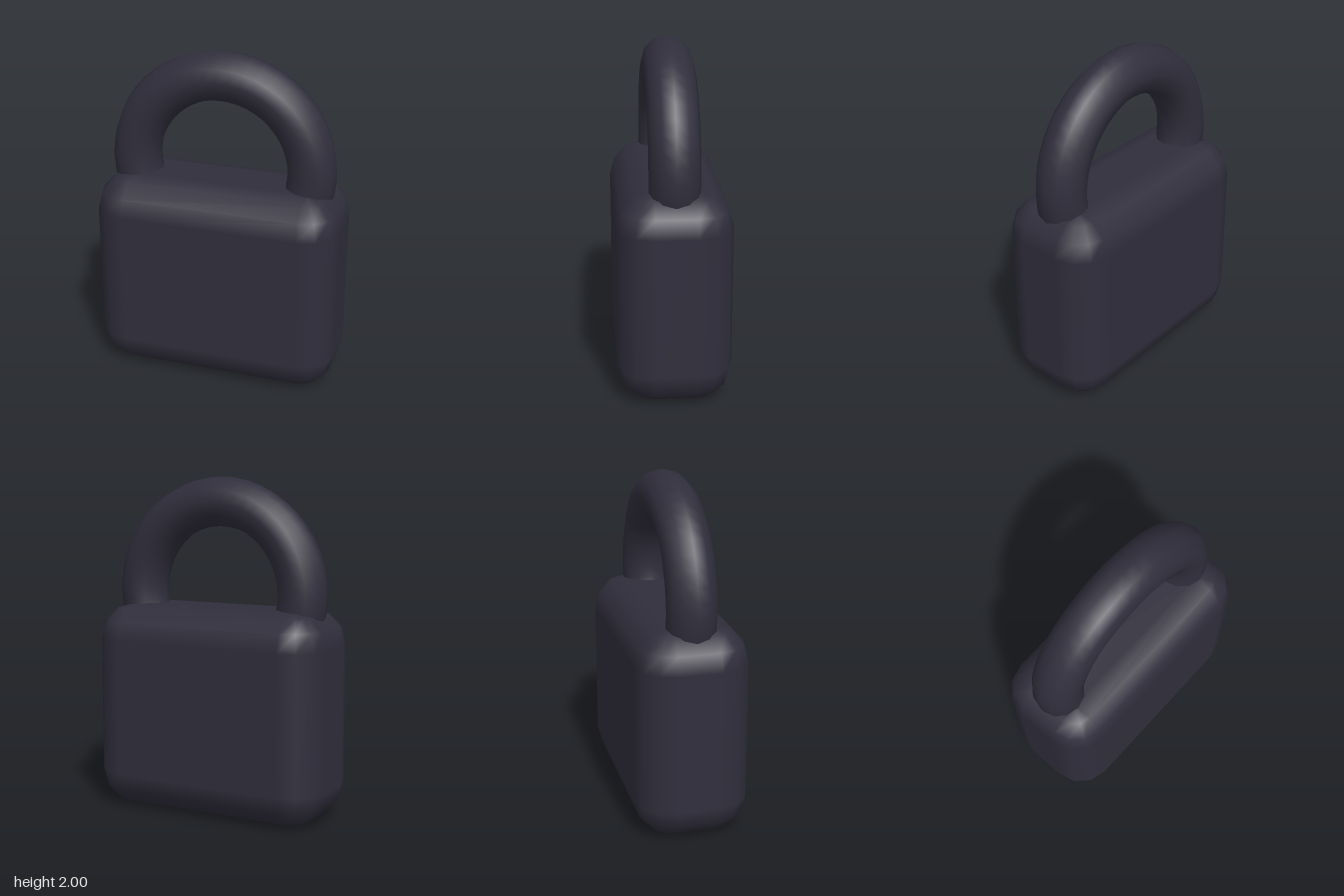
import * as THREE from 'three';

// Box with evenly rounded edges: a wrapped grid whose rows and columns are
// sphere directions pushed out to the eight corners.
function roundedBlock(w, h, d, r, n) {
  const cols = 4 * (n + 1);
  const rows = 2 * (n + 1) + 1; // includes one centre row for each flat cap
  const geo = new THREE.PlaneGeometry(1, 1, cols, rows);
  const pos = geo.attributes.position;
  const nor = geo.attributes.normal;
  const step = Math.PI / 2 / n;
  for (let j = 0; j <= rows; j++) {
    const cap = j === 0 || j === rows;
    const k = THREE.MathUtils.clamp(j - 1, 0, rows - 2);
    const top = k <= n;
    const theta = (top ? k : k - 1) * step;
    for (let i = 0; i <= cols; i++) {
      const c = i % cols;
      const corner = Math.floor(c / (n + 1));
      const phi = corner * Math.PI / 2 + (c % (n + 1)) * step;
      const sx = corner < 2 ? 1 : -1;
      const sz = corner === 0 || corner === 3 ? 1 : -1;
      const dir = new THREE.Vector3(
        Math.sin(phi) * Math.sin(theta), Math.cos(theta), Math.cos(phi) * Math.sin(theta));
      const id = j * (cols + 1) + i;
      pos.setXYZ(id,
        cap ? 0 : sx * (w / 2 - r) + dir.x * r,
        (top ? 1 : -1) * (h / 2 - r) + dir.y * r,
        cap ? 0 : sz * (d / 2 - r) + dir.z * r);
      nor.setXYZ(id, dir.x, dir.y, dir.z);
    }
  }
  return geo;
}

export function createModel() {
  const group = new THREE.Group();
  group.name = 'padlock';
  const darkMetal = new THREE.MeshStandardMaterial({ color: 0x302e3c });
  darkMetal.name = 'dark metal';

  // Lock body
  const body = new THREE.Mesh(roundedBlock(1.48, 1.24, 0.66, 0.21, 3), darkMetal);
  body.name = 'body';
  body.position.y = 0.62;
  group.add(body);

  // Shackle: an arc running past a half circle so its ends sink into the body
  const step = Math.PI / 24;
  const shackle = new THREE.Mesh(
    new THREE.TorusGeometry(0.535, 0.145, 12, 32, 32 * step), darkMetal);
  shackle.name = 'shackle';
  shackle.rotation.z = -4 * step;
  shackle.position.y = 1.32;
  group.add(shackle);

  return group;
}
